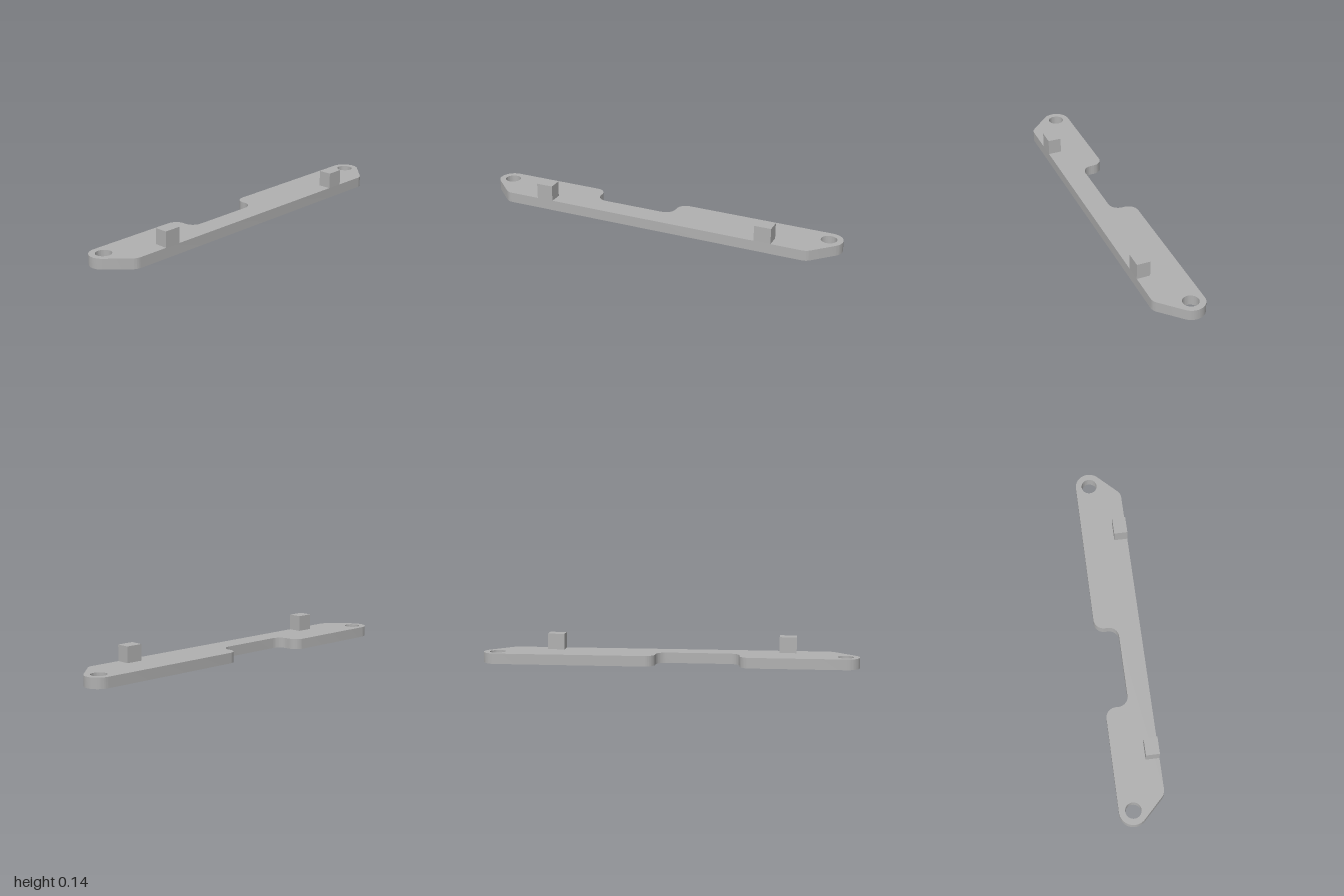
import * as THREE from 'three';
import { toCreasedNormals } from 'three/addons/utils/BufferGeometryUtils.js';

const HALF_DEPTH = 0.122, THICK = 0.056;
const END = { x: 0.926, y: 0.048, r: 0.074, hole: 0.042 };
const NOTCH = { left: -0.372, right: 0.073, floor: -0.003, r: 0.055 };

// Plate outline drawn with y pointing to the back
function plateShape() {
  const s = new THREE.Shape(), q = Math.PI / 2, h = HALF_DEPTH, n = NOTCH;
  s.moveTo(-0.835, -h);
  s.lineTo(0.835, -h);
  s.quadraticCurveTo(0.86, -h, 0.877, -h + 0.017);
  s.absarc(END.x, END.y, END.r, -q / 2, q, false);
  // notch with rounded shoulders and rounded inner corners
  s.absarc(n.right + n.r, h - n.r, n.r, q, 2 * q, false);
  s.absarc(n.right - n.r, n.floor + n.r, n.r, 0, -q, true);
  s.absarc(n.left + n.r, n.floor + n.r, n.r, -q, -2 * q, true);
  s.absarc(n.left - n.r, h - n.r, n.r, 0, q, false);
  s.absarc(-END.x, END.y, END.r, q, 2.5 * q, false);
  s.lineTo(-0.877, -h + 0.017);
  s.quadraticCurveTo(-0.86, -h, -0.835, -h);
  // screw holes
  for (const side of [-1, 1]) {
    const hole = new THREE.Path();
    hole.absarc(side * END.x, END.y, END.hole, 0, Math.PI * 2, true);
    s.holes.push(hole);
  }
  return s;
}

export function createModel() {
  const model = new THREE.Group();
  model.name = 'mountingBracket';
  const grey = new THREE.MeshStandardMaterial({ color: 0xb0b0b0 });
  grey.name = 'grey';

  const plateGeo = new THREE.ExtrudeGeometry(plateShape(), { depth: THICK, bevelEnabled: false, curveSegments: 20 });
  plateGeo.rotateX(-Math.PI / 2);
  const plate = new THREE.Mesh(toCreasedNormals(plateGeo, 0.5), grey);
  plate.name = 'plate';
  model.add(plate);

  // Upright pegs flush with the front edge
  const pegHeight = 0.141 - THICK, pegDepth = 0.072;
  for (const side of [-1, 1]) {
    const peg = new THREE.Mesh(new THREE.BoxGeometry(0.091, pegHeight, pegDepth), grey);
    peg.name = side > 0 ? 'leftPeg' : 'rightPeg';
    peg.position.set(side * 0.626, THICK + pegHeight / 2, HALF_DEPTH - pegDepth / 2);
    model.add(peg);
  }
  return model;
}
